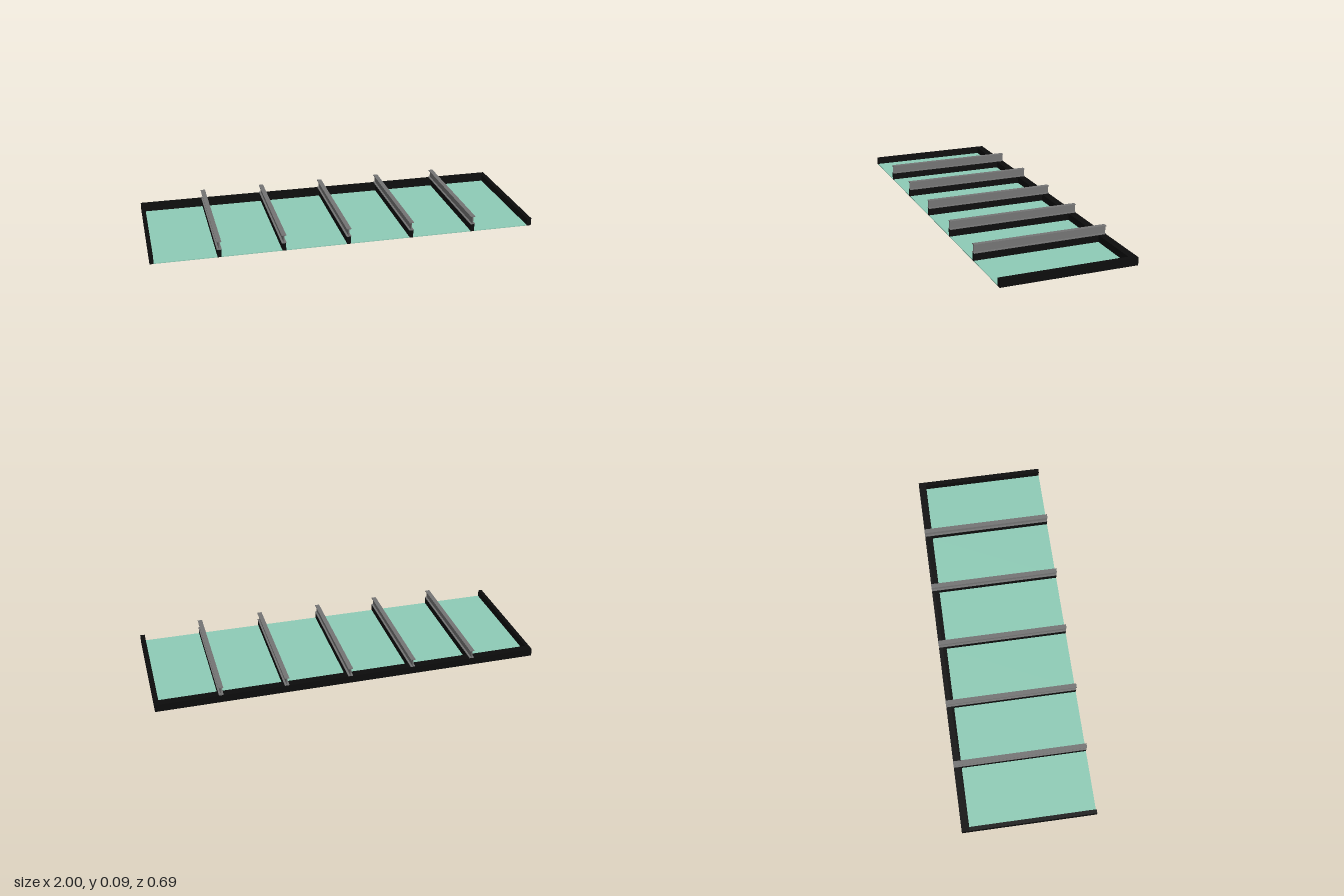
import * as THREE from 'three';

const frameBlack = new THREE.MeshStandardMaterial({ name: 'frameBlack', color: 0x0c0c0c });
const beamGrey = new THREE.MeshStandardMaterial({ name: 'beamGrey', color: 0x747474 });
const paneGreen = new THREE.MeshStandardMaterial({ name: 'paneGreen', color: 0x8ecbb6 });

const HALF_DEPTH = 0.346;
const BAR_TOP = 0.04;

// Box given by its min and max on each axis
function box(name, material, [x0, x1], [y0, y1], [z0, z1]) {
  const mesh = new THREE.Mesh(new THREE.BoxGeometry(x1 - x0, y1 - y0, z1 - z0), material);
  mesh.position.set((x0 + x1) / 2, (y0 + y1) / 2, (z0 + z1) / 2);
  mesh.name = name;
  return mesh;
}

// I-shaped section, running along z
function beamGeometry(width, height, flange, web) {
  const w = width / 2, t = web / 2, top = height - flange;
  const shape = new THREE.Shape([
    [-w, 0], [w, 0], [w, flange], [t, flange], [t, top], [w, top],
    [w, height], [-w, height], [-w, top], [-t, top], [-t, flange], [-w, flange],
  ].map(([x, y]) => new THREE.Vector2(x, y)));
  const geometry = new THREE.ExtrudeGeometry(shape, { depth: HALF_DEPTH * 2, bevelEnabled: false });
  return geometry.translate(0, 0, -HALF_DEPTH);
}

export function createModel() {
  const model = new THREE.Group();
  model.name = 'roofPanel';
  const depth = [-HALF_DEPTH, HALF_DEPTH];
  const backInner = -0.306;
  const ribHalf = 0.01;
  const ribs = [-0.657, -0.331, 0.004, 0.336, 0.67];

  // Frame open at the front
  model.add(box('backBar', frameBlack, [-1, 1], [0, BAR_TOP], [-HALF_DEPTH, backInner]));
  model.add(box('rightEndBar', frameBlack, [-1, -0.98], [0, BAR_TOP], [backInner, HALF_DEPTH]));
  model.add(box('leftEndBar', frameBlack, [0.976, 1], [0, BAR_TOP], [backInner, HALF_DEPTH]));

  // Black ribs, each carrying a grey beam
  const beam = beamGeometry(0.024, 0.045, 0.004, 0.005);
  for (const x of ribs) {
    model.add(box('rib', frameBlack, [x - ribHalf, x + ribHalf], [0, BAR_TOP], [backInner, HALF_DEPTH]));
    const mesh = new THREE.Mesh(beam, beamGrey);
    mesh.name = 'beam';
    mesh.position.set(x, BAR_TOP, 0);
    model.add(mesh);
  }

  // Panes filling the bays between the ribs
  const starts = [-0.98, ...ribs.map((x) => x + ribHalf)];
  const ends = [...ribs.map((x) => x - ribHalf), 0.976];
  starts.forEach((x, i) => {
    model.add(box('pane', paneGreen, [x, ends[i]], [0, 0.004], [backInner, depth[1]]));
  });

  return model;
}
